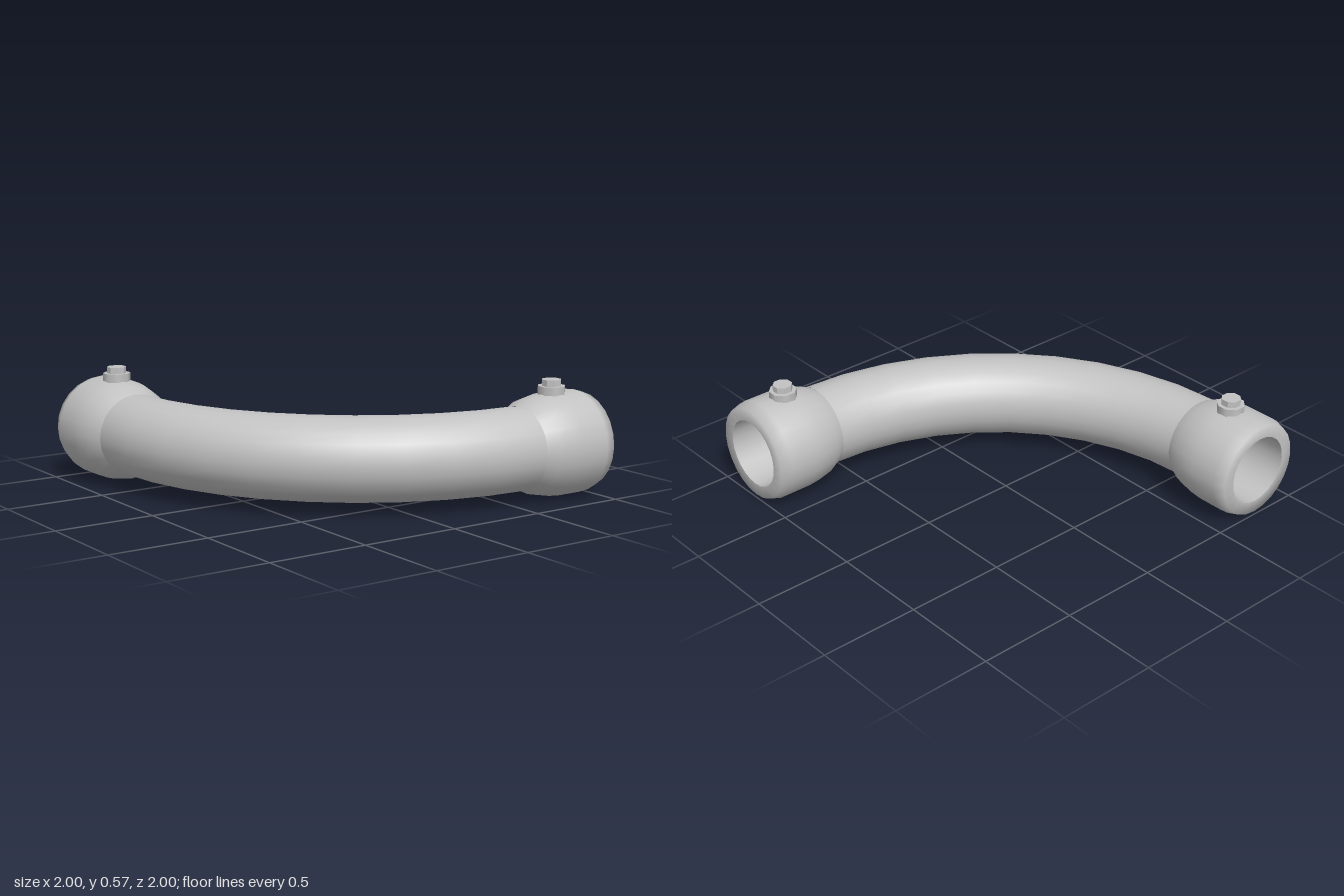
import * as THREE from 'three';

const AXIS_Y = 0.26;   // height of the pipe's centreline
const BEND = 1.345;    // centreline radius of the elbow
const SIDES = 24;

function flip(geometry) {
  // turn a closed surface inside out
  const index = geometry.index.array;
  for (let i = 0; i < index.length; i += 3) {
    [index[i], index[i + 1]] = [index[i + 1], index[i]];
  }
  const n = geometry.attributes.normal.array;
  for (let i = 0; i < n.length; i++) n[i] = -n[i];
  return geometry;
}

function elbow(radius) {
  return new THREE.TorusGeometry(BEND, radius, SIDES, 10, Math.PI / 2)
    .rotateZ(Math.PI / 2)
    .rotateX(Math.PI / 2);
}

function lathe(points) {
  // profile of [radius, distance], turned around +x
  return new THREE.LatheGeometry(points.map(([r, d]) => new THREE.Vector2(r, d)), SIDES)
    .rotateZ(-Math.PI / 2);
}

function octagon(acrossFlats, bottom, top) {
  const r = acrossFlats / 2 / Math.cos(Math.PI / 8);
  return new THREE.CylinderGeometry(r, r, top - bottom, 8)
    .rotateY(Math.PI / 8)
    .translate(0, (top + bottom) / 2, 0);
}

export function createModel() {
  const model = new THREE.Group();
  model.name = 'pipeElbow';
  const metal = new THREE.MeshStandardMaterial({ color: 0xc2c2c2 });
  metal.name = 'light grey metal';

  function add(parent, name, geometry) {
    const mesh = new THREE.Mesh(geometry, metal);
    mesh.name = name;
    parent.add(mesh);
    return mesh;
  }

  // curved pipe, hollow all the way through
  add(model, 'pipeOuter', elbow(0.205)).position.set(0.6, AXIS_Y, -0.6);
  add(model, 'pipeInner', flip(elbow(0.175))).position.set(0.6, AXIS_Y, -0.6);

  // flared collar with a bolt at each end
  const collar = lathe([[0.205, 0], [0.234, 0.06], [0.25, 0.14], [0.256, 0.2],
    [0.256, 0.34], [0.238, 0.4], [0.175, 0.4]]);
  const bore = lathe([[0.175, 0.4], [0.175, 0]]);
  const washer = octagon(0.128, 0.2, 0.287);
  const head = octagon(0.09, 0.287, 0.318).toNonIndexed();
  head.computeVertexNormals();

  for (const [name, x, z, turn] of [
    ['leftEnd', 0.6, 0.742, 0],
    ['backEnd', -0.743, -0.6, Math.PI / 2],
  ]) {
    const end = new THREE.Group();
    end.name = name;
    end.position.set(x, AXIS_Y, z);
    end.rotation.y = turn;
    add(end, 'collar', collar);
    add(end, 'bore', bore);
    add(end, 'boltWasher', washer).position.x = 0.2;
    add(end, 'boltHead', head).position.x = 0.2;
    model.add(end);
  }
  return model;
}
